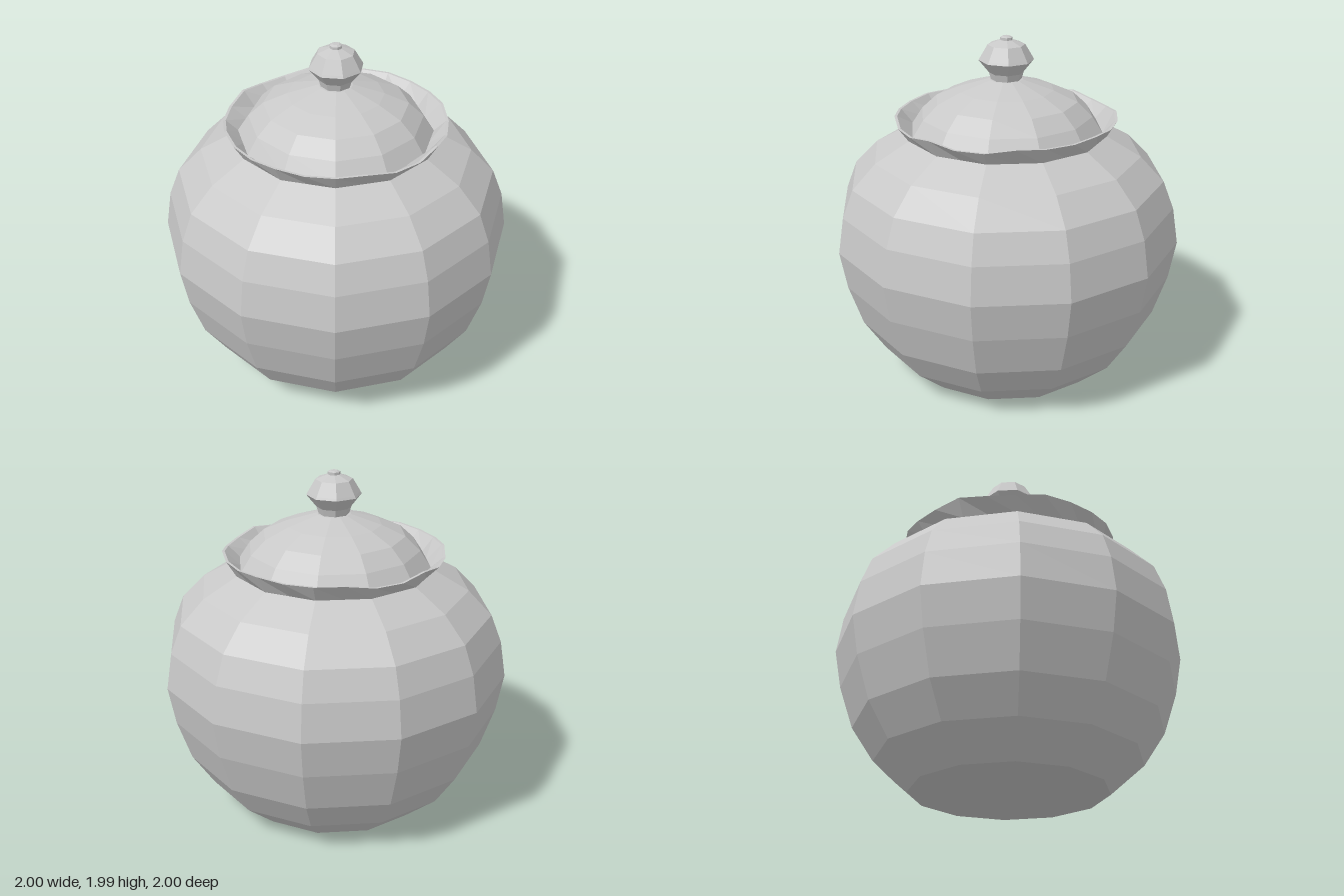
import * as THREE from 'three';

const glaze = new THREE.MeshStandardMaterial({ color: 0xc8c8c8, flatShading: true });
glaze.name = 'grey glaze';

// Faceted part turned from a profile of [radius, height] points
function turned(name, profile, sides) {
  const points = profile.map(([r, y]) => new THREE.Vector2(r, y));
  const mesh = new THREE.Mesh(new THREE.LatheGeometry(points, sides), glaze);
  mesh.name = name;
  return mesh;
}

// Flared collar: twelve-sided foot, rounder wavy lip
function makeCollar() {
  const foot = 1.44;
  const lip = 1.54;
  const mesh = turned('wavyCollar', [[0.575, foot], [0.632, lip], [0.617, lip], [0.545, foot + 0.01]], 24);
  const pos = mesh.geometry.attributes.position;
  for (let i = 0; i < pos.count; i++) {
    const x = pos.getX(i);
    const y = pos.getY(i);
    const z = pos.getZ(i);
    const angle = Math.atan2(x, z);
    if (y > 1.5) {
      // Eight lobes, calmer at the front and back
      const calm = Math.abs(z) > 0.53 ? 0.3 : 1;
      pos.setY(i, y - 0.015 * calm * (1 - Math.cos(8 * angle)));
    } else if (Math.round(angle / (Math.PI / 12)) % 2 !== 0) {
      // Midpoints of the twelve straight foot edges
      const k = Math.cos(Math.PI / 12);
      pos.setX(i, x * k);
      pos.setZ(i, z * k);
    }
  }
  mesh.geometry.computeVertexNormals();
  return mesh;
}

export function createModel() {
  const jar = new THREE.Group();
  jar.name = 'lidded jar';

  // Round belly with a flat base
  jar.add(turned('body', [
    [0, 0], [0.56, 0], [0.755, 0.17], [0.88, 0.36], [0.96, 0.6], [1, 0.82],
    [0.967, 1.03], [0.905, 1.19], [0.77, 1.33], [0.565, 1.445],
  ], 12));

  jar.add(makeCollar());

  // Domed lid
  jar.add(turned('lid', [
    [0.555, 1.45], [0.49, 1.55], [0.405, 1.63], [0.27, 1.69], [0.095, 1.745], [0, 1.75],
  ], 12));

  // Knob with waist and small tip
  jar.add(turned('knob', [
    [0.085, 1.74], [0.098, 1.785], [0.155, 1.855], [0.148, 1.868],
    [0.105, 1.942], [0.035, 1.968], [0.035, 1.983], [0.02, 1.99], [0, 1.99],
  ], 8));

  return jar;
}
